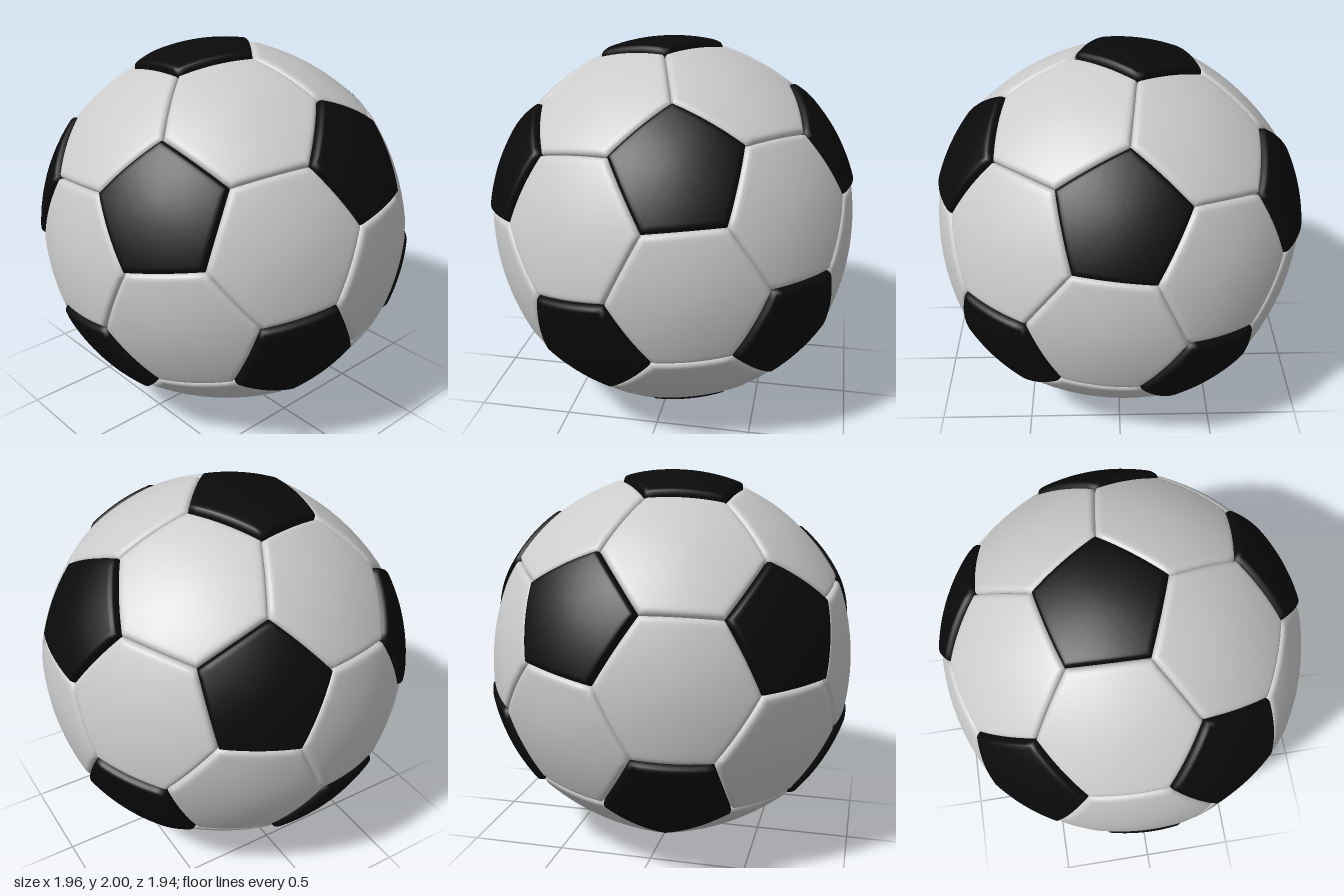
import * as THREE from 'three';

const SEAM = 0.95; // radius at the bottom of the seams
const RINGS = [0.2, 0.4, 0.6, 0.75, 0.85, 0.9, 0.935, 0.96, 0.98, 0.992, 1];
const EDGE_STEPS = 10;

// Twelve icosahedron directions: one near the top, five around it, and their opposites
function pentagonCentres() {
  const up = new THREE.Vector3(-0.108, 0.91, 0.088).normalize();
  const side = new THREE.Vector3(0.398, 0.382, 0.736);
  side.addScaledVector(up, -side.dot(up)).normalize();
  const across = new THREE.Vector3().crossVectors(up, side);
  const half = [up];
  for (let i = 0; i < 5; i++) {
    const a = (i * 2 * Math.PI) / 5;
    half.push(up.clone().multiplyScalar(1 / Math.sqrt(5))
      .addScaledVector(side, (2 / Math.sqrt(5)) * Math.cos(a))
      .addScaledVector(across, (2 / Math.sqrt(5)) * Math.sin(a)));
  }
  return [...half, ...half.map((v) => v.clone().negate())];
}

// Order corners counter-clockwise as seen from outside
function sortAround(centre, corners) {
  const u = corners[0].clone().addScaledVector(centre, -corners[0].dot(centre)).normalize();
  const v = new THREE.Vector3().crossVectors(centre, u);
  const angle = (p) => Math.atan2(p.dot(v), p.dot(u));
  return corners.sort((a, b) => angle(a) - angle(b));
}

// Puffed panel: concentric rings on the ball, rounded down into the seam.
// flat blends from a sphere (0) towards a flat face (1).
function panelGeometry(corners, radius, flat) {
  const n = corners.length;
  const middle = corners.reduce((s, c) => s.add(c), new THREE.Vector3()).divideScalar(n);
  const centre = middle.clone().normalize();
  const sorted = sortAround(centre, corners);
  const count = n * EDGE_STEPS;
  const positions = [];
  const index = [];
  const p = new THREE.Vector3();
  const edge = new THREE.Vector3();

  const add = (t) => {
    p.lerpVectors(middle, edge, t);
    const bulge = 1 + flat * (p.length() / middle.length() - 1);
    const q = Math.max(0, (t - 0.9) / 0.1);
    const r = THREE.MathUtils.lerp(radius * bulge, SEAM, 1 - Math.sqrt(1 - q * q));
    p.setLength(r);
    positions.push(p.x, p.y + 1, p.z);
  };

  add(0);
  RINGS.forEach((t, ring) => {
    for (let k = 0; k < count; k++) {
      const c = Math.floor(k / EDGE_STEPS);
      edge.lerpVectors(sorted[c], sorted[(c + 1) % n], (k % EDGE_STEPS) / EDGE_STEPS);
      add(t);
      const k2 = (k + 1) % count;
      const outer = 1 + ring * count;
      const inner = outer - count;
      if (ring === 0) index.push(0, outer + k, outer + k2);
      else index.push(inner + k, outer + k, outer + k2, inner + k, outer + k2, inner + k2);
    }
  });

  const g = new THREE.BufferGeometry();
  g.setAttribute('position', new THREE.Float32BufferAttribute(positions, 3));
  g.setIndex(index);
  g.computeVertexNormals();
  return g;
}

export function createModel() {
  const ball = new THREE.Group();
  ball.name = 'ball';
  const black = new THREE.MeshStandardMaterial({ color: 0x0a0a0a });
  const grey = new THREE.MeshStandardMaterial({ color: 0xcccccc });
  const centres = pentagonCentres();
  const near = (a, b) => a !== b && a.dot(b) > 0.4;
  const third = (a, b) => a.clone().lerp(b, 1 / 3);

  const groups = ['pentagonPanels', 'hexagonPanels'].map((name) => {
    const g = new THREE.Group();
    g.name = name;
    ball.add(g);
    return g;
  });
  const addPanel = (group, name, geometry, material) => {
    const mesh = new THREE.Mesh(geometry, material);
    mesh.name = name + (group.children.length + 1);
    group.add(mesh);
  };

  // Black pentagons, one per icosahedron corner
  for (const a of centres) {
    const corners = centres.filter((b) => near(a, b)).map((b) => third(a, b));
    addPanel(groups[0], 'pentagonPanel', panelGeometry(corners, 1, 0), black);
  }

  // Light hexagons, one per icosahedron face
  centres.forEach((a, i) => centres.forEach((b, j) => centres.forEach((c, k) => {
    if (i < j && j < k && near(a, b) && near(b, c) && near(a, c)) {
      const corners = [third(a, b), third(b, a), third(b, c), third(c, b), third(c, a), third(a, c)];
      addPanel(groups[1], 'hexagonPanel', panelGeometry(corners, 0.968, 0.2), grey);
    }
  })));

  return ball;
}
